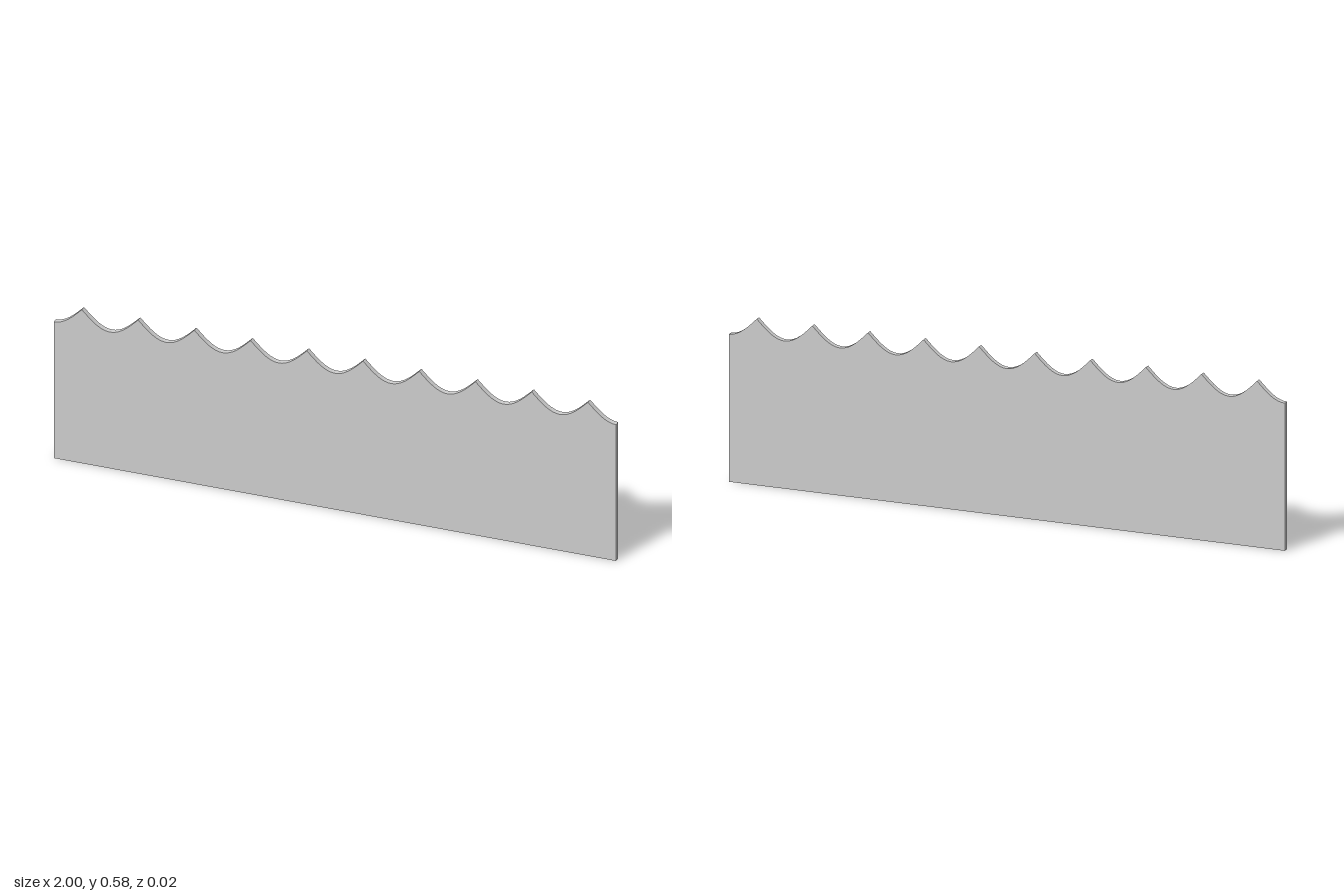
import * as THREE from 'three';

export function createModel() {
  const group = new THREE.Group();
  const material = new THREE.MeshStandardMaterial({ color: 0xcccccc });
  const peak = 0.577, trough = 0.512, pitch = 0.2, depth = 0.02;
  const steps = 160;

  // Board outline: straight base and sides, scalloped top with pointed crests
  const outline = new THREE.Shape();
  outline.moveTo(-1, 0);
  outline.lineTo(1, 0);
  for (let i = 0; i <= steps; i++) {
    const x = 1 - (2 * i) / steps;
    const dip = Math.abs(Math.cos((Math.PI * x) / pitch));
    outline.lineTo(x, peak - (peak - trough) * dip);
  }
  outline.closePath();

  const geometry = new THREE.ExtrudeGeometry(outline, { depth, bevelEnabled: false });
  geometry.translate(0, 0, -depth / 2);
  const panel = new THREE.Mesh(geometry, material);
  panel.name = 'scallopedPanel';
  group.add(panel);
  return group;
}
